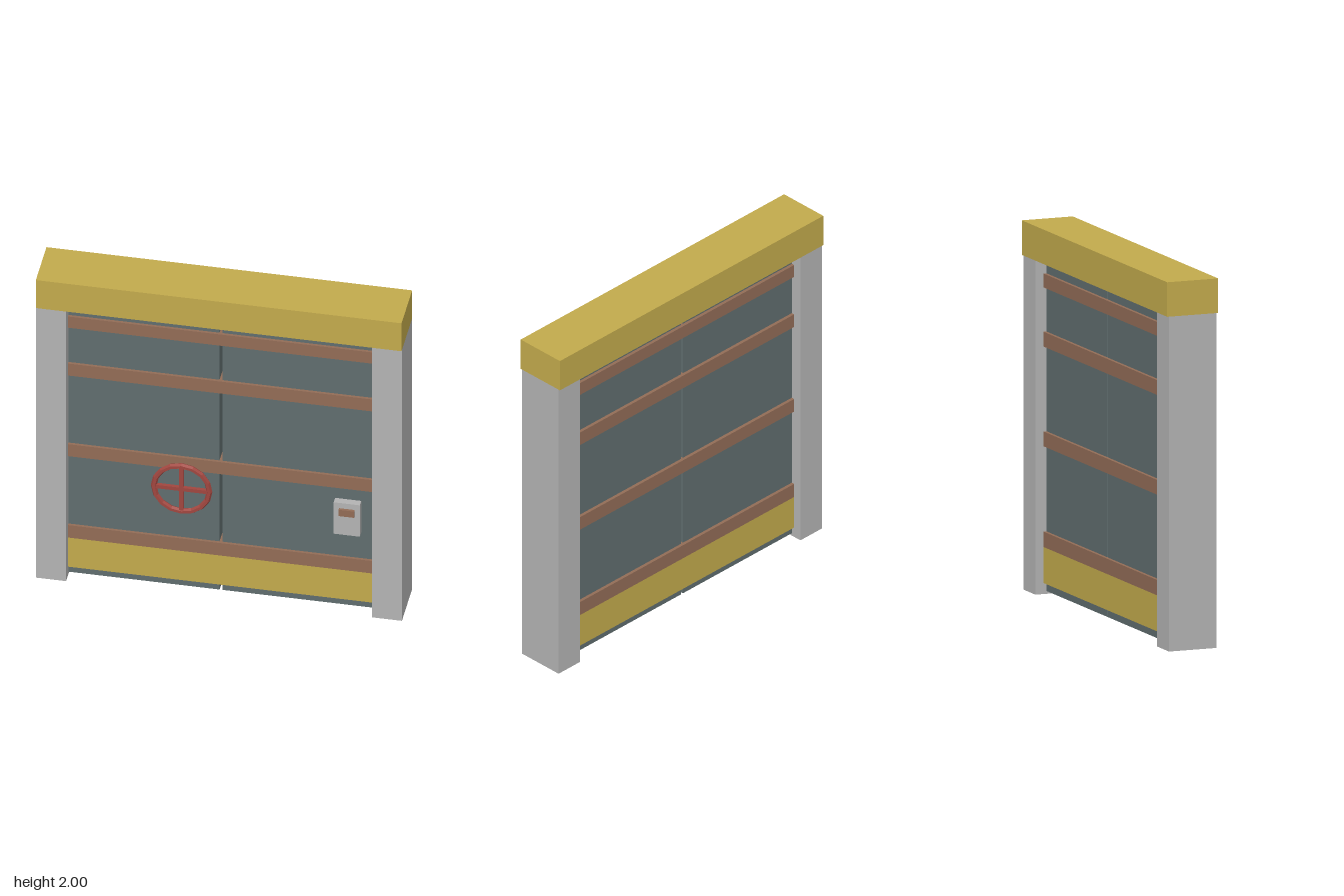
import * as THREE from 'three';

const paint = (name, color) => {
  const m = new THREE.MeshStandardMaterial({ color });
  m.name = name;
  return m;
};

export function createModel() {
  const group = new THREE.Group();
  group.name = 'slidingGate';
  const yellow = paint('yellow', 0xc2aa4c);
  const grey = paint('lightGrey', 0xb3b3b3);
  const slate = paint('slate', 0x606d6e);
  const brown = paint('brown', 0x926c56);
  const red = paint('red', 0xa0463f);
  red.flatShading = true;

  // Box given by its limits on each axis
  const box = (name, mat, [x0, x1], [y0, y1], [z0, z1], parent = group) => {
    const mesh = new THREE.Mesh(new THREE.BoxGeometry(x1 - x0, y1 - y0, z1 - z0), mat);
    mesh.position.set((x0 + x1) / 2, (y0 + y1) / 2, (z0 + z1) / 2);
    mesh.name = name;
    parent.add(mesh);
    return mesh;
  };

  // Frame: lintel and two posts
  box('lintel', yellow, [-0.992, 0.992], [1.813, 2], [-0.165, 0.13]);
  box('leftPost', grey, [0.83, 0.992], [0, 1.813], [-0.155, 0.12]);
  box('rightPost', grey, [-0.992, -0.83], [0, 1.813], [-0.155, 0.12]);

  // Two door leaves with a narrow gap between them
  box('leftDoor', slate, [0.005, 0.83], [0.015, 1.813], [-0.09, 0.055]);
  box('rightDoor', slate, [-0.83, -0.01], [0.015, 1.813], [-0.09, 0.055]);

  // Cross bars and kick plate stand proud on both faces
  const proud = [-0.108, 0.07];
  for (const [y0, y1] of [[0.255, 0.338], [0.8, 0.88], [1.34, 1.42], [1.66, 1.735]])
    box('crossBar', brown, [-0.83, 0.83], [y0, y1], proud);
  box('kickPlate', yellow, [-0.83, 0.83], [0.06, 0.255], proud);

  // Hand wheel
  const wheel = new THREE.Group();
  wheel.name = 'handWheel';
  wheel.position.set(-0.205, 0.705, 0.11);
  const rim = new THREE.Mesh(new THREE.TorusGeometry(0.151, 0.016, 6, 16), red);
  rim.name = 'wheelRim';
  wheel.add(rim);
  box('wheelSpokeAcross', red, [-0.148, 0.148], [-0.011, 0.011], [-0.01, 0.01], wheel);
  box('wheelSpokeUpright', red, [-0.011, 0.011], [-0.148, 0.148], [-0.011, 0.011], wheel);
  group.add(wheel);

  // Control box with its button
  box('controlBox', grey, [0.628, 0.77], [0.555, 0.765], [0.112, 0.152]);
  box('controlButton', brown, [0.657, 0.742], [0.688, 0.73], [0.14, 0.167]);

  return group;
}
